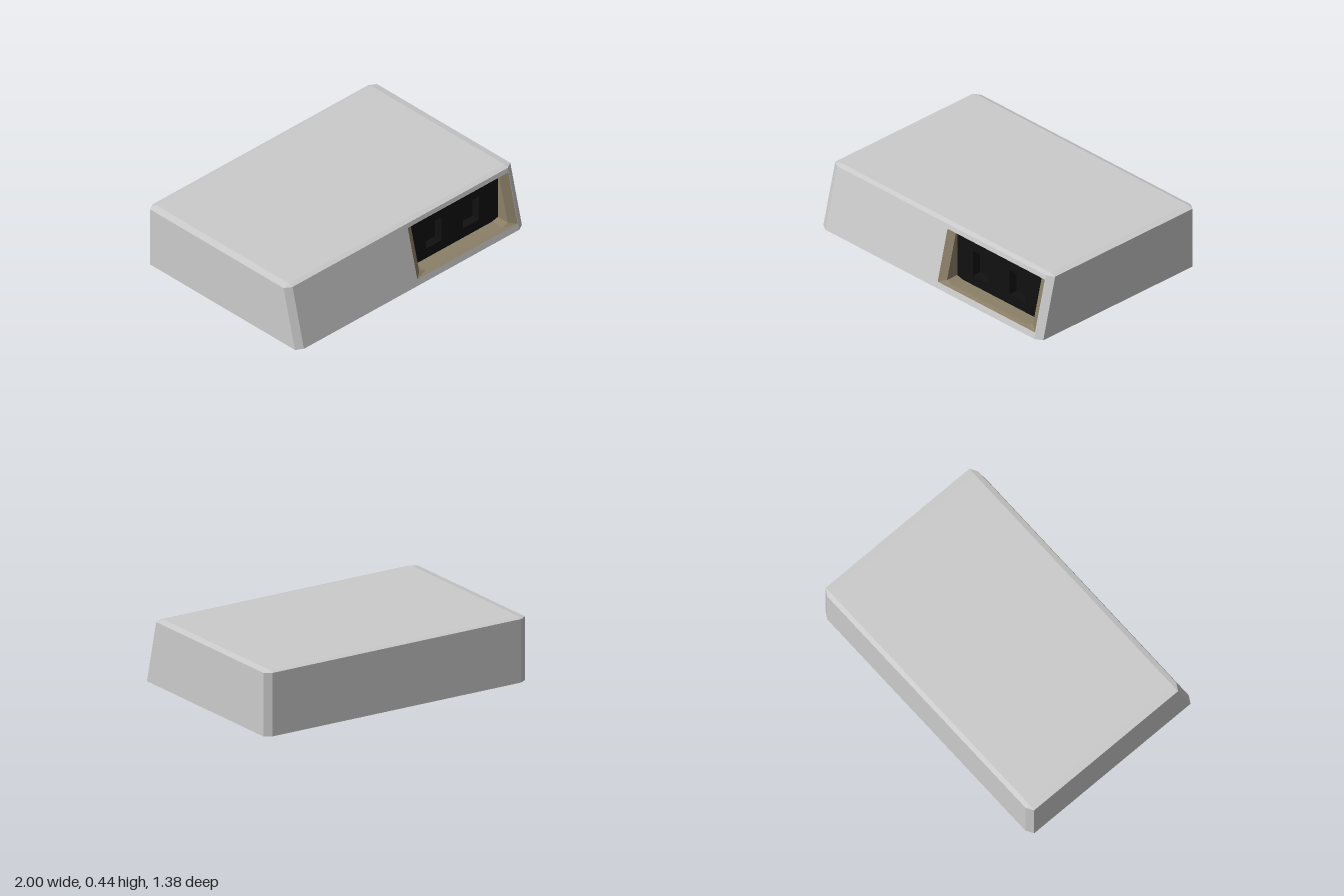
import * as THREE from 'three';

const H = 0.445, LOW = 0.01, HIGH = 0.435;
// depth of the sloping front at height y
const frontZ = (y) => 0.69 - 0.247 * (y - LOW);

// flat-shaded skin between closed loops of points; skip(level, side) leaves quads open
function loft(rings, skip = () => false) {
  const pos = [];
  for (let r = 0; r < rings.length - 1; r++) {
    const n = rings[r].length;
    for (let i = 0; i < n; i++) {
      if (skip(r, i)) continue;
      const j = (i + 1) % n;
      const a = rings[r][i], b = rings[r][j], c = rings[r + 1][j], d = rings[r + 1][i];
      pos.push(...a, ...b, ...c, ...a, ...c, ...d);
    }
  }
  const g = new THREE.BufferGeometry();
  g.setAttribute('position', new THREE.Float32BufferAttribute(pos, 3));
  g.computeVertexNormals();
  return g;
}

// rectangle with cut corners as an 8-point loop, counter-clockwise
function cutRect(x0, x1, y0, y1, cx, cy) {
  return [[x0 + cx, y0], [x1 - cx, y0], [x1, y0 + cy], [x1, y1 - cy],
    [x1 - cx, y1], [x0 + cx, y1], [x0, y1 - cy], [x0, y0 + cy]];
}

// flat face from a loop with holes; z follows a rule of y
function face(loop, holes, zAt) {
  const toV = (l) => l.map(([x, y]) => new THREE.Vector2(x, y));
  const shape = new THREE.Shape(toV(loop));
  for (const h of holes) shape.holes.push(new THREE.Path(toV(h)));
  const g = new THREE.ShapeGeometry(shape);
  const p = g.attributes.position;
  for (let i = 0; i < p.count; i++) p.setZ(i, zAt(p.getY(i)));
  g.computeVertexNormals();
  return g;
}

const rect = (x0, x1, y0, y1) => [[x0, y0], [x1, y0], [x1, y1], [x0, y1]];
const at = (loop, zAt) => loop.map(([x, y]) => [x, y, zAt(y)]);

export function createModel() {
  const group = new THREE.Group();
  const grey = new THREE.MeshStandardMaterial({ color: 0xcccccc, flatShading: true });
  const tan = new THREE.MeshStandardMaterial({ color: 0x8c8068, flatShading: true });
  const black = new THREE.MeshStandardMaterial({ color: 0x111111, flatShading: true });
  const add = (name, geometry, material) => {
    const mesh = new THREE.Mesh(geometry, material);
    mesh.name = name;
    group.add(mesh);
  };

  // casing: bevelled slab with a sloping front
  const outline = (y) => {
    const z = frontZ(y), s = z - 0.03;
    return [[-0.95, y, z], [0.95, y, z], [1, y, s], [1, y, -0.66],
      [0.95, y, -0.69], [-0.95, y, -0.69], [-1, y, -0.66], [-1, y, s]];
  };
  const capRing = (y, z) => [[-0.95, z], [0.95, z], [0.95, z], [0.95, -0.66],
    [0.95, -0.66], [-0.95, -0.66], [-0.95, -0.66], [-0.95, z]].map(([x, d]) => [x, y, d]);
  const centre = (y) => Array(8).fill([0, y, 0]);
  add('casing', loft([centre(0), capRing(0, 0.66), outline(LOW), outline(HIGH),
    capRing(H, 0.552), centre(H)], (r, i) => r === 2 && i === 0), grey);

  // front panel with the socket bay opening
  const bay = [0.06, 0.945, 0.052, 0.405];
  add('frontPanel', face(rect(-0.95, 0.95, LOW, HIGH), [rect(...bay)], frontZ), grey);

  // bay lining: bevelled rim, then a straight tunnel back to the socket plate
  const plateZ = 0.555;
  const inner = cutRect(0.11, 0.89, 0.058, 0.398, 0.05, 0.013);
  const opening = cutRect(...bay, 0, 0);
  add('bayLining', loft([at(opening, frontZ), at(inner, (y) => frontZ(y) - 0.03),
    at(inner, () => plateZ)]), tan);

  // socket plate with two recessed sockets
  const sockets = [0.325, 0.655].map((x) => rect(x - 0.07, x + 0.07, 0.13, 0.31));
  add('socketPlate', face(inner, sockets, () => plateZ), black);
  for (const s of sockets) {
    add('socketWalls', loft([at(s, () => plateZ), at(s, () => plateZ - 0.06)]), black);
    add('socketBack', face(s, [], () => plateZ - 0.06), black);
  }
  return group;
}
